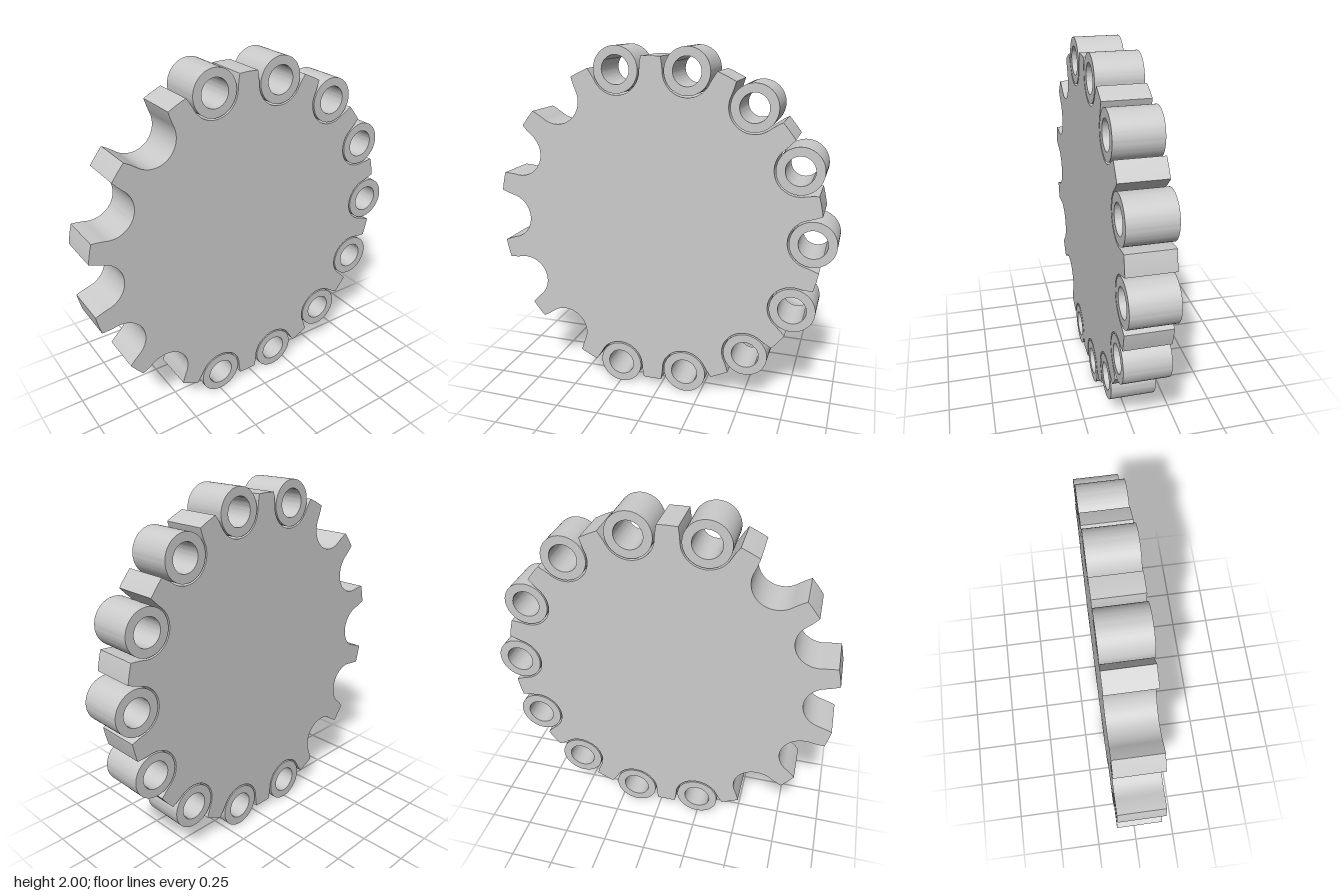
import * as THREE from 'three';
import { toCreasedNormals } from 'three/addons/utils/BufferGeometryUtils.js';

const TEETH = 14, PITCH_R = 0.895, TIP_R = 0.948, SEAT_R = 0.135;
const ROLLER_R = 0.126, BORE_R = 0.078, DEPTH = 0.25;
const STEP = (Math.PI * 2) / TEETH;

// Extrude a shape along z, centred, with sharp rims and smooth curved walls
function slab(shape, curveSegments) {
  const g = new THREE.ExtrudeGeometry(shape, { depth: DEPTH, bevelEnabled: false, curveSegments });
  g.translate(0, 0, -DEPTH / 2);
  return toCreasedNormals(g, 0.4);
}

// Wheel outline: per pitch a round roller seat, flared flanks and an arced tooth tip
function wheelShape() {
  const shape = new THREE.Shape();
  const tip = 0.1665;               // angle from seat axis to the tooth corner
  const seat = 1.31;                // half sweep of the round seat
  for (let i = 0; i < TEETH; i++) {
    const a = i * STEP, c = Math.cos(a), s = Math.sin(a);
    const at = (u, v) => [u * c - v * s, u * s + v * c];
    const tu = TIP_R * Math.cos(tip), tv = TIP_R * Math.sin(tip);
    const su = PITCH_R - SEAT_R * Math.cos(seat), sv = SEAT_R * Math.sin(seat);
    if (i === 0) shape.moveTo(...at(tu, -tv));
    shape.quadraticCurveTo(...at(0.893, -0.139), ...at(su, -sv));
    shape.absarc(...at(PITCH_R, 0), SEAT_R, a + Math.PI + seat, a + Math.PI - seat, true);
    shape.quadraticCurveTo(...at(0.893, 0.139), ...at(tu, tv));
    shape.absarc(0, 0, TIP_R, a + tip, a + STEP - tip, false);
  }
  return shape;
}

// Hollow roller cross-section
function rollerShape() {
  const shape = new THREE.Shape();
  shape.absarc(0, 0, ROLLER_R, 0, Math.PI * 2, false);
  const bore = new THREE.Path();
  bore.absarc(0, 0, BORE_R, 0, Math.PI * 2, true);
  shape.holes.push(bore);
  return shape;
}

export function createModel() {
  const model = new THREE.Group();
  model.name = 'sprocketWithRollers';
  const material = new THREE.MeshStandardMaterial({ color: 0xcccccc });

  const wheel = new THREE.Mesh(slab(wheelShape(), 16), material);
  wheel.name = 'sprocketWheel';
  model.add(wheel);

  // Nine chain rollers wrapped around the +x side
  const rollerGeometry = slab(rollerShape(), 48);
  const rollers = new THREE.Group();
  rollers.name = 'chainRollers';
  for (let k = -4; k <= 4; k++) {
    const roller = new THREE.Mesh(rollerGeometry, material);
    roller.name = `roller${k + 5}`;
    roller.position.set(PITCH_R * Math.cos(k * STEP), PITCH_R * Math.sin(k * STEP), 0);
    rollers.add(roller);
  }
  model.add(rollers);

  model.position.set(-0.045, 1, 0);
  return model;
}
